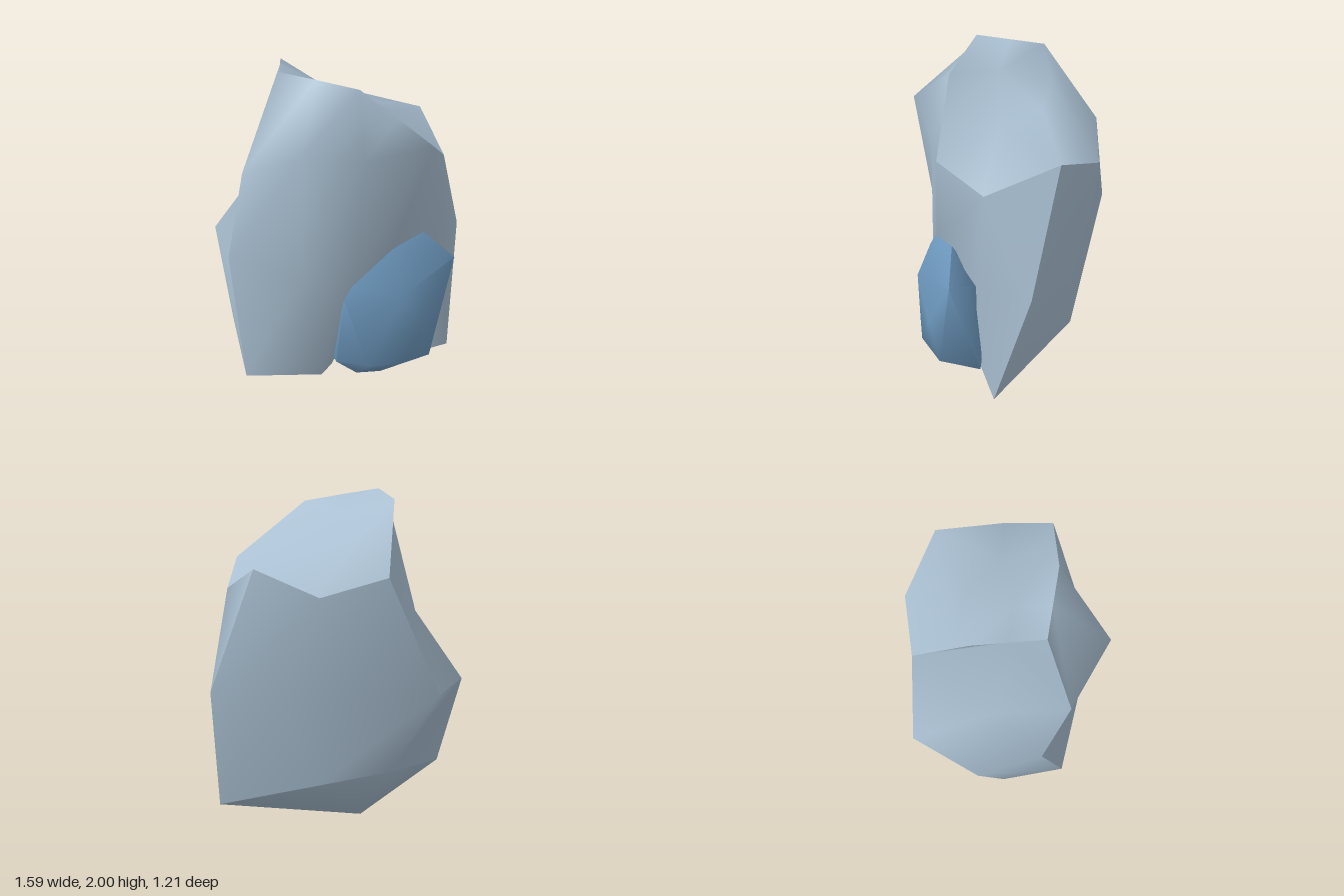
import * as THREE from 'three';
import { mergeVertices, toCreasedNormals } from 'three/addons/utils/BufferGeometryUtils.js';
import { ConvexGeometry } from 'three/addons/geometries/ConvexGeometry.js';

// Boulder rings, each running front-left, front, front-middle,
// front-right, right, back-right, back, back-left, left
const foot = [
  [-0.61, 0.05, 0.36], [-0.13, 0, 0.29], [-0.06, 0.01, 0.18], [0, 0.02, 0.01], [0.26, 0, 0.16],
  [0.72, 0.03, 0], [0.17, 0.26, -0.44], [-0.28, 0.3, -0.4], [-0.7, 0.25, -0.05],
];
const waist = [
  [-0.7, 0.8, 0.19], [-0.25, 0.78, 0.48], [0.05, 0.74, 0.46], [0.3, 0.93, 0.39], [0.64, 0.82, 0.11],
  [0.79, 0.82, -0.23], [0.4, 0.82, -0.44], [-0.53, 0.83, -0.61], [-0.8, 0.83, -0.22],
];
const shoulder = [
  [-0.59, 1.43, 0.35], [-0.25, 1.62, 0.6], [0.12, 1.52, 0.435], [0.54, 1.57, 0.34], [0.64, 1.41, 0.06],
  [0.54, 1.58, -0.37], [0.19, 1.43, -0.58], [-0.23, 1.53, -0.55], [-0.53, 1.25, -0.08],
];
const crown = [
  [-0.36, 2, 0.21], [-0.15, 1.965, 0.26], [0.1, 1.92, 0.32], [0.32, 1.745, 0.33], [0.27, 1.68, 0],
  [0.05, 1.7, -0.23], [-0.18, 1.8, -0.27], [-0.35, 1.96, -0.21], [-0.355, 1.98, 0],
];
const rings = [foot, waist, shoulder, crown];
const bottomCentre = [-0.13, 0, -0.28];
const topCentre = [-0.1, 1.87, 0.05];

// Which smooth panel a cell between two rings belongs to
function panelOf(row, col) {
  if (row === 2 && col >= 3 && col <= 6) return 'top';
  if (col === 5 || col === 6 || (row === 0 && col === 7)) return 'back';
  return col >= 7 ? 'left' : 'front';
}

// Lofts the rings into panels that are smooth inside and meet at sharp ridges
function boulderPanels() {
  const panels = { front: [], left: [], back: [], top: [], underside: [] };
  const n = foot.length;
  for (let i = 0; i < n; i++) {
    const j = (i + 1) % n;
    const otherDiagonal = i === 4 || i === 8; // keeps the side ridges straight
    for (let r = 0; r < rings.length - 1; r++) {
      const [a, b, c, d] = [rings[r][i], rings[r][j], rings[r + 1][j], rings[r + 1][i]];
      const corners = otherDiagonal ? [a, b, d, b, c, d] : [a, b, c, a, c, d];
      panels[panelOf(r, i)].push(...corners.flat());
    }
    panels.underside.push(...bottomCentre, ...foot[j], ...foot[i]);
    panels.top.push(...topCentre, ...crown[i], ...crown[j]);
  }
  return Object.entries(panels).map(([name, positions]) => {
    const raw = new THREE.BufferGeometry();
    raw.setAttribute('position', new THREE.Float32BufferAttribute(positions, 3));
    const geometry = mergeVertices(raw);
    geometry.computeVertexNormals();
    return { name, geometry };
  });
}

export function createModel() {
  const group = new THREE.Group();
  const paleStone = new THREE.MeshStandardMaterial({ color: 0xa9bfd1 });
  paleStone.name = 'pale stone';
  const blueStone = new THREE.MeshStandardMaterial({ color: 0x6f9bc1 });
  blueStone.name = 'blue stone';

  const boulder = new THREE.Group();
  boulder.name = 'boulder';
  for (const { name, geometry } of boulderPanels()) {
    const mesh = new THREE.Mesh(geometry, paleStone);
    mesh.name = `boulder ${name}`;
    boulder.add(mesh);
  }
  group.add(boulder);

  // Small rounded stone leaning into the front of the boulder
  const points = [
    [0.5, 0.99, 0.27], [0.3, 0.94, 0.4], [0.7, 0.81, 0.265], [0.62, 0.8, 0.14],
    [0.05, 0.73, 0.475], [0, 0.64, 0.48], [0.34, 0.67, 0.515], [0.15, 0.21, 0.545],
    [0.36, 0.2, 0.5], [0.55, 0.17, 0.36], [0.57, 0.14, 0.1], [-0.04, 0.16, 0.4],
    [-0.05, 0.04, 0.13], [0.09, 0.05, 0.36], [0.25, 0, 0.27], [0.5, 0.43, 0.43],
    [0.2, 0.5, 0.12],
  ].map((p) => new THREE.Vector3(...p));
  const stone = new THREE.Mesh(toCreasedNormals(new ConvexGeometry(points), 1.1), blueStone);
  stone.name = 'smallStone';
  group.add(stone);

  return group;
}
